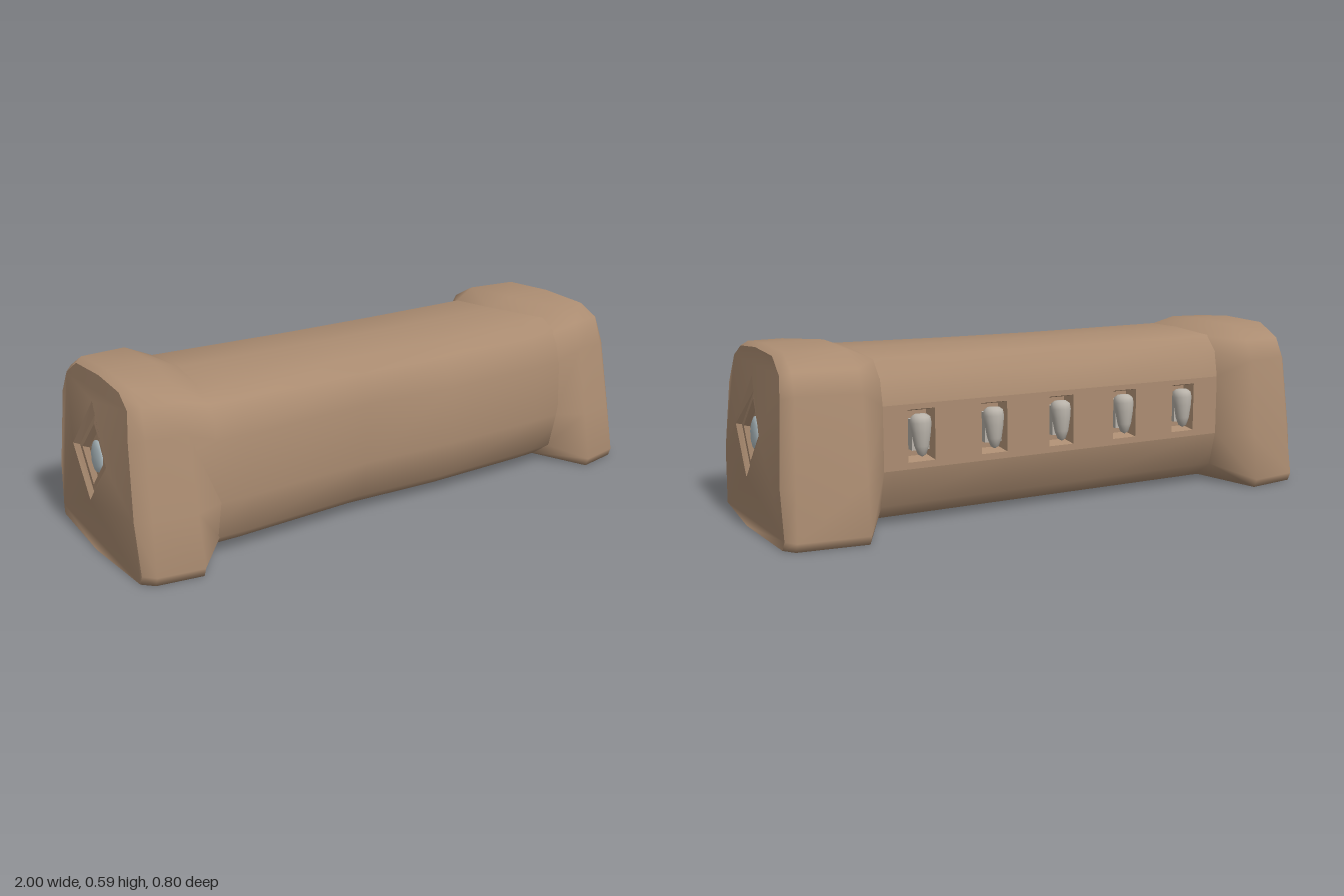
import * as THREE from 'three';

// Cross-sections as [z, y], running from the back over the top to the front and underneath
const BODY = [[-.27, .19], [-.27, .4], [-.252, .485], [-.2, .54], [0, .552], [.2, .545], [.265, .505],
  [.297, .4], [.305, .2], [.275, .07], [.2, .015], [0, .01], [-.17, .015], [-.24, .07]];
const BLOCK = [[-.378, .19], [-.347, .46], [-.315, .53], [-.22, .58], [0, .587], [.2, .574], [.285, .535],
  [.317, .44], [.365, .2], [.398, .03], [.385, 0], [0, 0], [-.385, 0], [-.4, .03]];
const WINDOWS = [-.52, -.27, -.015, .24, .5];
const WINDOW_Y = .297;
// Gently bowed outer end surface
const capX = (y, z) => 1 - .27 * y ** 3 - 2 * z ** 4;

// Skin between rings of points that all have the same count
function loft(rings, { closed = true, flat = false, cap = false } = {}) {
  const n = rings[0].length, index = [];
  for (let i = 0; i < rings.length - 1; i++) {
    for (let j = 0; j < (closed ? n : n - 1); j++) {
      const k = (j + 1) % n, a = i * n + j, b = i * n + k;
      index.push(a, b, a + n, b, b + n, a + n);
    }
  }
  const last = (rings.length - 1) * n;
  if (cap) for (let j = 1; j < n - 1; j++) index.push(last, last + j, last + j + 1);
  let geo = new THREE.BufferGeometry();
  geo.setAttribute('position', new THREE.Float32BufferAttribute(rings.flat(2), 3));
  geo.setIndex(index);
  if (flat) geo = geo.toNonIndexed();
  geo.computeVertexNormals();
  return geo;
}

// Mirror to the other end, keeping faces outward
function mirrorX(geo) {
  const g = geo.index ? geo.toNonIndexed() : geo.clone();
  for (const name of ['position', 'normal']) {
    const a = g.attributes[name];
    for (let i = 0; i < a.count; i += 3) {
      const p = [0, 1, 2].map((k) => [-a.getX(i + k), a.getY(i + k), a.getZ(i + k)]);
      [0, 2, 1].forEach((from, k) => a.setXYZ(i + k, ...p[from]));
    }
  }
  return g;
}

export function createModel() {
  const group = new THREE.Group();
  const material = (name, color) => {
    const m = new THREE.MeshStandardMaterial({ color });
    m.name = name;
    return m;
  };
  const brown = material('brown', 0xac8d72);
  const paleGrey = material('paleGrey', 0xb4c2c7);
  const warmGrey = material('warmGrey', 0xbab4ab);
  const add = (name, geo, mat, parent = group) => {
    const m = new THREE.Mesh(geo, mat);
    m.name = name;
    parent.add(m);
    return m;
  };

  // Long rounded body, open at the back where the window panel sits
  const profile = [...BODY.slice(1), BODY[0]];
  const stations = [[-.78, 0], [-.6, .005], [-.15, -.012], [.2, .01], [.6, .008], [.78, 0]];
  add('body', loft(stations.map(([x, bulge]) => profile.map(([z, y]) =>
    [x, y > .45 ? y + .01 * (Math.abs(x) - .3) : y, z > .1 && y < .45 ? z + bulge : z])), { closed: false }), brown);

  // Back panel with five recessed windows
  const rect = (path, x, y, w, h) => path.moveTo(x - w, y - h).lineTo(x + w, y - h)
    .lineTo(x + w, y + h).lineTo(x - w, y + h).closePath();
  const panel = rect(new THREE.Shape(), 0, .295, .72, .105);
  WINDOWS.forEach((x) => panel.holes.push(rect(new THREE.Path(), -x, WINDOW_Y, .047, .085)));
  add('windowPanel', new THREE.ShapeGeometry(panel).rotateY(Math.PI).translate(0, 0, -.27), brown);

  // Blunt-topped claws tapering downward, each on a small root in its window
  const tooth = new THREE.LatheGeometry([[0, -.07], [.014, -.062], [.024, -.035], [.032, .01],
    [.035, .04], [.032, .058], [.02, .067], [0, .069]].map(([r, y]) => new THREE.Vector2(r, y)), 14);
  const root = new THREE.BoxGeometry(.06, .1, .04);
  for (const x of WINDOWS) {
    const ring = (w, h, z) => [[-1, -1], [-1, 1], [1, 1], [1, -1]]
      .map(([a, b]) => [x + a * w, WINDOW_Y + b * h, z]);
    add('windowRecess', loft([ring(.047, .085, -.27), ring(.036, .074, -.225)], { flat: true, cap: true }), brown);
    const claw = add('claw', tooth, warmGrey);
    claw.position.set(x, WINDOW_Y, -.266);
    claw.rotation.x = .08;
    add('clawRoot', root, warmGrey).position.set(x, WINDOW_Y, -.24);
  }

  // End blocks, flared to the foot, with a stepped diamond in the outer face
  const cz = -.02, cy = .315;
  const diamond = ([w, up, down]) => [[cz - w, cy], [cz, cy + up], [cz + w, cy], [cz, cy - down]];
  const steps = [[.133, .175, .15, 0], [.108, .128, .125, .014], [.087, .1, .1, .014], [.064, .073, .075, .028]];
  for (const side of [1, -1]) {
    const end = new THREE.Group();
    end.name = side > 0 ? 'leftEnd' : 'rightEnd';
    group.add(end);
    const orient = (geo) => (side > 0 ? geo : mirrorX(geo));
    const outline = BLOCK.map(([z, y]) => [side < 0 && z > .1 ? z * .93 : z, y]);
    const face = outline.map(([z, y]) => [z * .83, y * .98]);
    const inner = side > 0 ? .63 : .67;
    add('endBlock', orient(loft([
      BODY.map(([z, y]) => [z > .1 ? .7 : inner, y, z]),
      outline.map(([z, y]) => [z > .1 ? .8 : inner + .095, y, z]),
      outline.map(([z, y]) => [.95 - .05 * y, y, z * .93]),
      face.map(([z, y]) => [capX(y, z), y, z]),
    ])), brown, end);

    // Outer face with its diamond opening
    const shape = new THREE.Shape(face.map(([z, y]) => new THREE.Vector2(-z, y)));
    shape.holes.push(new THREE.Path(diamond(steps[0]).map(([z, y]) => new THREE.Vector2(-z, y))));
    const faceGeo = new THREE.ShapeGeometry(shape).rotateY(Math.PI / 2);
    const p = faceGeo.attributes.position;
    for (let i = 0; i < p.count; i++) p.setX(i, capX(p.getY(i), p.getZ(i)));
    faceGeo.computeVertexNormals();
    add('endFace', orient(faceGeo), brown, end);

    // Stepped recess, narrowing inward
    add('diamondRecess', orient(loft(steps.map((s) => diamond(s).map(([z, y]) => [capX(y, z) - s[3], y, z])),
      { flat: true, cap: true })), brown, end);

    // Flat pale gem on the recess floor
    const gem = new THREE.SphereGeometry(1, 10, 8).rotateX(Math.PI / 2).scale(.012, .055, .045)
      .rotateZ(.08).translate(capX(cy, cz) - .028, cy - .009, cz);
    add('gem', orient(gem), paleGrey, end);
  }
  return group;
}
